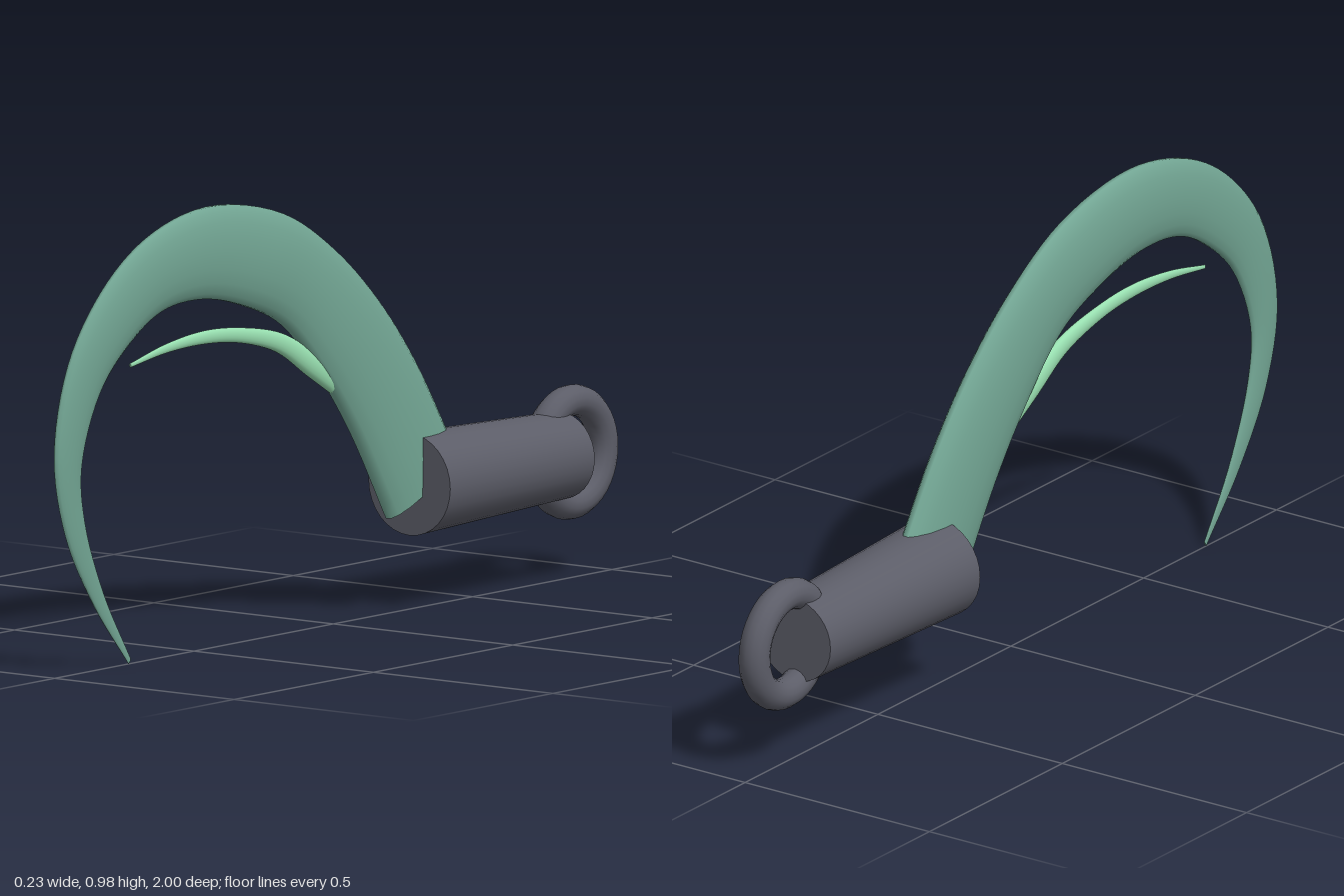
import * as THREE from 'three';

const SIDES = 18;

// Elliptical sweep in the YZ plane between an outer and an inner edge.
// Each row is [outerZ, outerY, innerZ, innerY]; flat = x thickness / depth.
function sweep(rows, steps, flat) {
  const outer = new THREE.CatmullRomCurve3(rows.map(r => new THREE.Vector3(0, r[1], r[0])));
  const inner = new THREE.CatmullRomCurve3(rows.map(r => new THREE.Vector3(0, r[3], r[2])));
  const pos = [], index = [], row = SIDES + 1;
  const ring = (t) => {
    const o = outer.getPoint(t), i = inner.getPoint(t);
    const c = o.clone().add(i).multiplyScalar(0.5);
    const half = o.sub(c);
    const w = half.length() * flat;
    for (let j = 0; j < row; j++) {
      const a = (j % SIDES) / SIDES * Math.PI * 2;
      pos.push(w * Math.cos(a), c.y + half.y * Math.sin(a), c.z + half.z * Math.sin(a));
    }
    return c;
  };
  for (let s = 0; s <= steps; s++) ring(s / steps);
  for (let s = 0; s < steps; s++) {
    for (let j = 0; j < SIDES; j++) {
      const a = s * row + j, b = a + row;
      index.push(a, a + 1, b + 1, a, b + 1, b);
    }
  }
  // flat end caps with their own vertices
  for (const t of [0, 1]) {
    const first = pos.length / 3;
    const c = ring(t);
    const mid = pos.length / 3;
    pos.push(c.x, c.y, c.z);
    for (let j = first; j < first + SIDES; j++) {
      if (t === 0) index.push(mid, j + 1, j);
      else index.push(mid, j, j + 1);
    }
  }
  const g = new THREE.BufferGeometry();
  g.setAttribute('position', new THREE.Float32BufferAttribute(pos, 3));
  g.setIndex(index);
  g.computeVertexNormals();
  // share the normal across the lengthwise seam
  const n = g.attributes.normal, v = new THREE.Vector3(), u = new THREE.Vector3();
  for (let s = 0; s <= steps; s++) {
    const a = s * row, b = a + SIDES;
    v.fromBufferAttribute(n, a).add(u.fromBufferAttribute(n, b)).normalize();
    n.setXYZ(a, v.x, v.y, v.z);
    n.setXYZ(b, v.x, v.y, v.z);
  }
  return g;
}

export function createModel() {
  const model = new THREE.Group();
  const metal = new THREE.MeshStandardMaterial({ color: 0x5c5d68 });
  const green = new THREE.MeshStandardMaterial({ color: 0x72a593 });
  const paleGreen = new THREE.MeshStandardMaterial({ color: 0x98dfb0 });
  const add = (name, geometry, material) => {
    const mesh = new THREE.Mesh(geometry, material);
    mesh.name = name;
    model.add(mesh);
    return mesh;
  };

  // large hooked claw, thick at the socket and tapering to the tip
  add('claw', sweep([
    [-0.43, 0.34, -0.195, 0.21],
    [-0.29, 0.55, -0.07, 0.41],
    [-0.16, 0.70, 0.045, 0.555],
    [0.00, 0.835, 0.18, 0.685],
    [0.19, 0.94, 0.32, 0.745],
    [0.45, 0.985, 0.48, 0.78],
    [0.67, 0.94, 0.62, 0.77],
    [0.83, 0.84, 0.73, 0.715],
    [0.95, 0.69, 0.84, 0.615],
    [1.00, 0.49, 0.905, 0.46],
    [0.96, 0.31, 0.893, 0.335],
    [0.86, 0.145, 0.825, 0.168],
    [0.728, 0.00, 0.735, 0.012].map((n, i) => (i === 0 ? 0.735 : i === 2 ? 0.728 : n)),
  ], 72, 0.29), green);

  // slim spur growing from the inner edge of the claw
  add('spur', sweep([
    [-0.02, 0.555, 0.01, 0.515],
    [0.065, 0.61, 0.095, 0.565],
    [0.185, 0.67, 0.20, 0.628],
    [0.33, 0.70, 0.335, 0.666],
    [0.46, 0.709, 0.46, 0.679],
    [0.60, 0.696, 0.597, 0.676],
    [0.73, 0.668, 0.728, 0.659],
  ], 36, 0.55), paleGreen);

  // tapered socket, wider toward the claw
  const socket = add('socket', new THREE.CylinderGeometry(0.114, 0.097, 0.54, 32), metal);
  socket.rotation.x = Math.PI / 2;
  socket.position.set(0, 0.278, -0.543);

  // upright ring at the rear end
  const ring = add('ring', new THREE.TorusGeometry(0.115, 0.035, 14, 40), metal);
  ring.rotation.y = Math.PI / 2;
  ring.position.set(0, 0.28, -0.85);

  return model;
}
